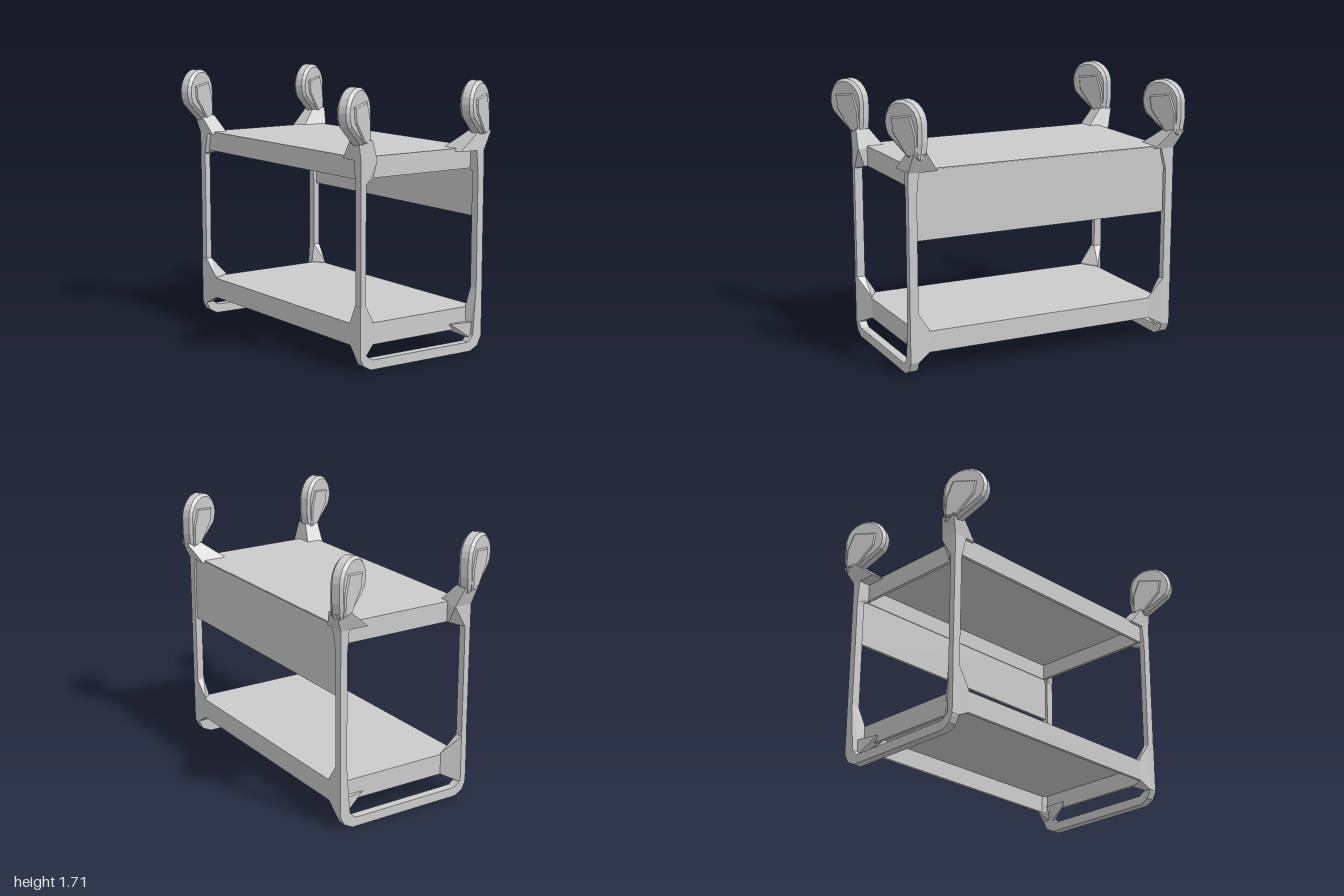
import * as THREE from 'three';
import { ConvexGeometry } from 'three/addons/geometries/ConvexGeometry.js';

const material = new THREE.MeshStandardMaterial({ color: 0xcccccc, flatShading: true });

function add(parent, name, geometry) {
  const mesh = new THREE.Mesh(geometry, material);
  mesh.name = name;
  parent.add(mesh);
  return mesh;
}

// Box given by its limits on each axis
function slab(parent, name, [x0, x1], [y0, y1], [z0, z1]) {
  const g = new THREE.BoxGeometry(x1 - x0, y1 - y0, z1 - z0);
  g.translate((x0 + x1) / 2, (y0 + y1) / 2, (z0 + z1) / 2);
  return add(parent, name, g);
}

// Solid hull round a few corner points
function hull(parent, name, points) {
  return add(parent, name, new ConvexGeometry(points.map(p => new THREE.Vector3(...p))));
}

// Corner points of a level rectangle
const rect = (x0, x1, z0, z1, y) => [[x0, y, z0], [x1, y, z0], [x1, y, z1], [x0, y, z1]];

function polygon(points) {
  return new THREE.Shape(points.map(p => new THREE.Vector2(...p)));
}

// Open-bottomed tray with an apron on all sides
function makeShelf(name, y0, y1) {
  const g = new THREE.Group();
  g.name = name;
  const t = 0.02, x0 = -0.4, x1 = 0.515, z = 0.85;
  slab(g, 'deck', [x0, x1], [y1 - t, y1], [-z, z]);
  for (const s of [-1, 1]) {
    const zs = [s * z, s * (z - t)].sort((a, b) => a - b);
    slab(g, 'endApron', [x0 + t, x1 - t], [y0, y1 - t], zs);
  }
  slab(g, 'leftApron', [x1 - t, x1], [y0, y1 - t], [-z, z]);
  slab(g, 'rightApron', [x0, x0 + t], [y0, y1 - t], [-z, z]);
  return g;
}

// U-shaped end frame with chamfered bottom corners
function makeFrame(name, z0, z1) {
  const shape = polygon([
    [-0.42, 1.28], [-0.417, 0.08], [-0.395, 0.035], [-0.34, 0.005], [0.44, 0],
    [0.5, 0.03], [0.53, 0.09], [0.53, 1.28], [0.483, 1.28], [0.483, 0.4],
    [0.46, 0.1], [0.42, 0.06], [-0.33, 0.065], [-0.38, 0.1], [-0.38, 1.28]]);
  const g = new THREE.ExtrudeGeometry(shape, { depth: z1 - z0, bevelEnabled: false });
  g.translate(0, 0, z0);
  const frame = new THREE.Group();
  frame.name = name;
  add(frame, 'post and bottom rail', g);
  return frame;
}

// Swivel wheel with its fork, wheel centre at the origin
function makeCaster() {
  const g = new THREE.Group();
  const r = 0.127, outline = [];
  for (let i = 0; i <= 12; i++) {
    const a = 0.1 + i * 0.3;
    outline.push([r * Math.cos(a), r * Math.sin(a)]);
  }
  outline.push([-0.04, -0.12], [0.05, -0.185], [0.115, -0.185], [0.127, -0.1]);
  const body = new THREE.ExtrudeGeometry(polygon(outline), {
    depth: 0.05, bevelThickness: 0.018, bevelSize: 0.018, bevelSegments: 1 });
  body.translate(0, 0, -0.025);
  add(g, 'wheel', body);

  // Raised fork cheeks on both sides of the wheel
  const cheek = polygon([[-0.07, 0.03], [0.07, 0.05], [0.11, -0.06],
    [0.115, -0.18], [0.05, -0.18], [-0.06, -0.05]]);
  const fork = new THREE.ExtrudeGeometry(cheek, {
    depth: 0.088, bevelThickness: 0.008, bevelSize: 0.008, bevelSegments: 1 });
  fork.translate(0, 0, -0.044);
  add(g, 'fork', fork);
  return g;
}

export function createModel() {
  const model = new THREE.Group();
  model.name = 'cart';

  model.add(makeShelf('upperShelf', 1.155, 1.285));
  model.add(makeShelf('lowerShelf', 0.14, 0.275));
  slab(model, 'sidePanel', [0.5, 0.518], [0.85, 1.28], [-0.865, 0.855]);
  model.add(makeFrame('frontFrame', 0.855, 0.91));
  model.add(makeFrame('backFrame', -0.93, -0.875));

  // side, end, wheel centre, and how far the caster bracket reaches inwards
  const corners = [
    { name: 'frontRight', sx: -1, sz: 1, wheel: [-0.465, 0.9], reach: [-0.3, 0.73] },
    { name: 'frontLeft', sx: 1, sz: 1, wheel: [0.465, 0.89], reach: [0.34, 0.72] },
    { name: 'backRight', sx: -1, sz: -1, wheel: [-0.47, -0.89], reach: [-0.3, -0.77] },
    { name: 'backLeft', sx: 1, sz: -1, wheel: [0.455, -0.895], reach: [0.34, -0.79] },
  ];
  for (const { name, sx, sz, wheel, reach } of corners) {
    const corner = new THREE.Group();
    corner.name = name + 'Corner';
    model.add(corner);

    const outX = sx < 0 ? -0.42 : 0.53, inX = sx < 0 ? -0.38 : 0.483;
    const outZ = sz < 0 ? -0.93 : 0.91, inZ = sz < 0 ? -0.875 : 0.855;
    const [wx, wz] = wheel, nx = wx + 0.08, nz = wz - 0.035;

    // Sloping bracket from the shelf corner up to the caster
    hull(corner, 'casterBracket', [
      ...rect(outX, reach[0], outZ, reach[1], 1.27),
      ...rect(nx - 0.05, nx + 0.05, nz - 0.045, nz + 0.045, 1.39)]);
    const caster = makeCaster();
    caster.name = 'caster';
    caster.position.set(wx, 1.56, wz);
    caster.rotation.y = 0.45;
    corner.add(caster);

    // Block joining the upper shelf to the post
    const blockX = sx < 0 ? -0.3 : 0.47;
    hull(corner, 'upperJoint', [
      ...rect(outX, blockX, outZ, sz * 0.84, 1.27),
      ...rect(outX, inX, outZ, inZ, 1.13),
      ...rect(inX, blockX, sz * 0.87, sz * 0.84, 1.155)]);

    // Flared gusset joining the lower shelf to the post
    const flareX = sx < 0 ? -0.28 : 0.45, edgeX = sx < 0 ? -0.4 : 0.515;
    hull(corner, 'lowerGusset', [
      ...rect(outX, inX, outZ, inZ, 0.4),
      ...rect(outX, inX, outZ, inZ, 0.09),
      [flareX, 0.285, sz * 0.85], [flareX, 0.14, sz * 0.85],
      [edgeX, 0.285, sz * 0.78], [edgeX, 0.14, sz * 0.78]]);
    if (sx > 0) {
      hull(corner, 'lowerBracket', [
        [0.32, 0.18, sz * 0.86], [0.32, 0.14, sz * 0.82], [0.32, 0.18, sz * 0.82],
        [0.47, 0.18, sz * 0.89], [0.47, 0.07, sz * 0.89],
        [0.47, 0.18, sz * 0.82], [0.47, 0.07, sz * 0.86]]);
    }
  }
  return model;
}
